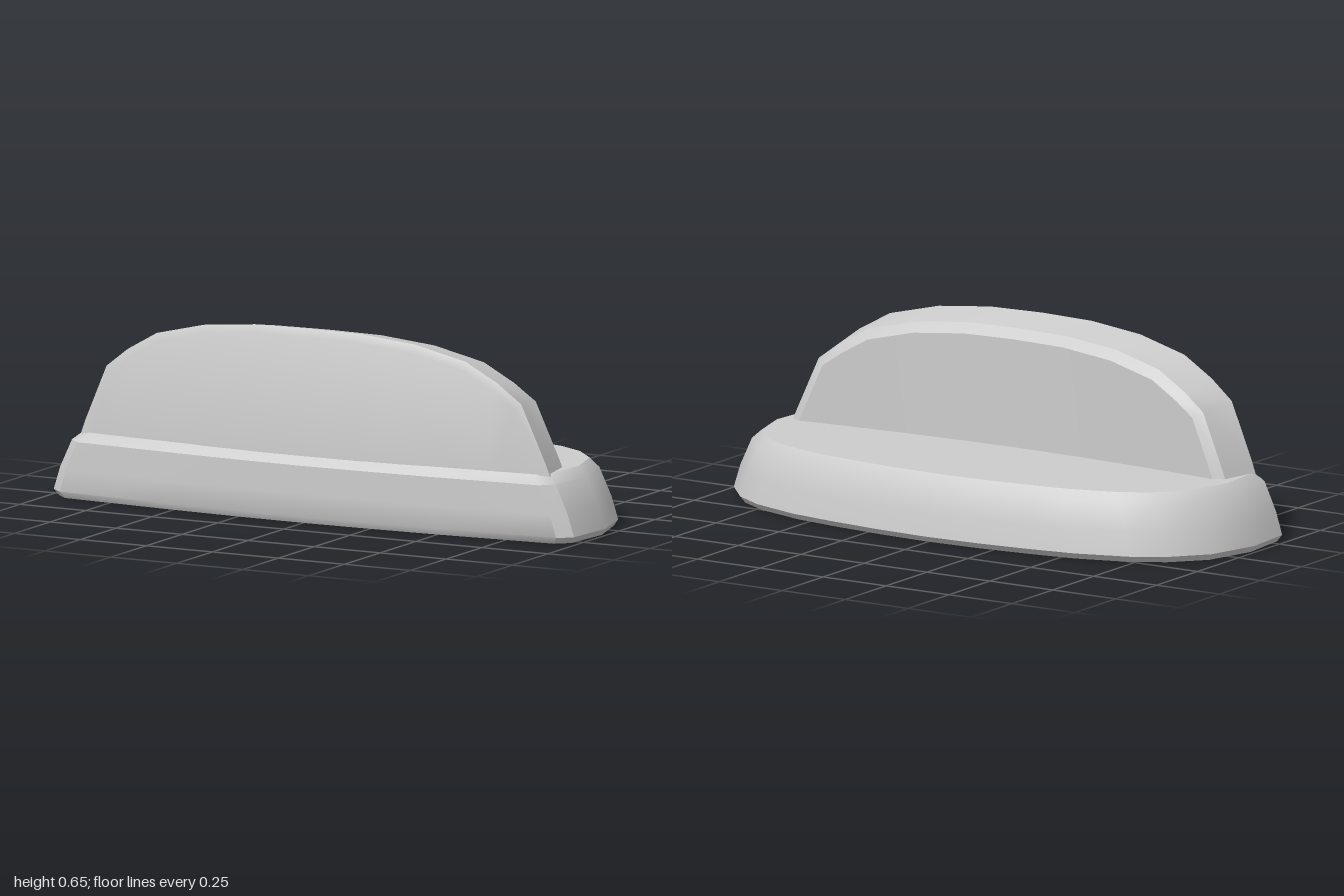
import * as THREE from 'three';
import { toCreasedNormals } from 'three/addons/utils/BufferGeometryUtils.js';

// Build a mesh from rows of points; consecutive rows are joined by quads
function loft(name, rows, closed, caps, material) {
  const n = rows[0].length;
  const pos = rows.flat(2);
  const idx = [];
  for (let r = 0; r < rows.length - 1; r++) {
    for (let j = 0; j < (closed ? n : n - 1); j++) {
      const k = (j + 1) % n;
      const a = r * n + j, b = r * n + k;
      idx.push(a, b, b + n, a, b + n, a + n);
    }
  }
  caps(idx, n, (rows.length - 1) * n, pos);
  const geo = new THREE.BufferGeometry();
  geo.setAttribute('position', new THREE.Float32BufferAttribute(pos, 3));
  geo.setIndex(idx);
  const mesh = new THREE.Mesh(toCreasedNormals(geo, 0.6), material);
  mesh.name = name;
  return mesh;
}

// Add the mirrored half of a symmetric list of [x, v] points
const mirror = (half) => [
  ...half,
  ...half.slice().reverse().filter(([x]) => x > 0).map(([x, v]) => [-x, v]),
];

function makeBase(material) {
  const outline = mirror([
    [0, 0.378], [0.25, 0.373], [0.5, 0.362], [0.94, 0.332], [0.985, 0.29], [1, 0.1],
    [0.95, -0.085], [0.85, -0.2], [0.74, -0.268], [0.56, -0.325],
    [0.4, -0.35], [0.2, -0.371], [0, -0.38],
  ]);
  // [height, x scale, front z scale, back z scale]
  const rings = [
    [0, 0.985, 0.965, 0.94], [0.022, 1, 1, 1], [0.1, 0.975, 1, 0.963],
    [0.195, 0.93, 1, 0.9], [0.225, 0.895, 0.92, 0.83],
  ].map(([y, sx, sf, sb]) => outline.map(([x, z]) => [x * sx, y, z * (z > 0 ? sf : sb)]));
  return loft('base', rings, true, (idx, n, top) => {
    for (let j = 1; j < n - 1; j++) {
      idx.push(top, top + j, top + j + 1);
      idx.push(0, j + 1, j);
    }
  }, material);
}

function makeBackrest(material) {
  const arch = mirror([
    [0.895, 0.2], [0.872, 0.26], [0.785, 0.455], [0.7, 0.52], [0.585, 0.585],
    [0.4, 0.63], [0.2, 0.65], [0, 0.653],
  ]);
  // Move the arch inward along its normal
  const inset = (d) => arch.map(([x, y], i) => {
    const p = arch[Math.max(i - 1, 0)], q = arch[Math.min(i + 1, arch.length - 1)];
    const tx = q[0] - p[0], ty = q[1] - p[1], len = Math.hypot(tx, ty);
    return [x - (ty / len) * d, y + (tx / len) * d];
  });
  // The whole panel bows gently toward the front in the middle
  const bow = (x) => -0.058 * Math.pow(Math.abs(x) / 0.9, 1.8);
  const rows = [
    [0.165, 0.06], [0.19, 0.026], [0.335, 0], [0.35, 0.028],
  ].map(([z, d]) => inset(d).map(([x, y]) => [x, y, z + bow(x)]));
  return loft('backrest', rows, false, (idx, n, front, pos) => {
    // Front and back panels run down to a hidden edge inside the base
    for (const [start, isFront] of [[0, false], [front, true]]) {
      const low = pos.length / 3;
      for (let i = 0; i < n; i++) {
        const k = (start + i) * 3;
        pos.push(pos[k], 0.15, pos[k + 2]);
      }
      for (let i = 0; i < n - 1; i++) {
        const a = start + i, b = a + 1, c = low + i + 1, d = low + i;
        if (isFront) idx.push(a, b, c, a, c, d);
        else idx.push(a, c, b, a, d, c);
      }
    }
  }, material);
}

export function createModel() {
  const group = new THREE.Group();
  group.name = 'curvedSeat';
  const grey = new THREE.MeshStandardMaterial({ color: 0xcccccc });
  grey.name = 'light grey';
  group.add(makeBase(grey), makeBackrest(grey));
  return group;
}
